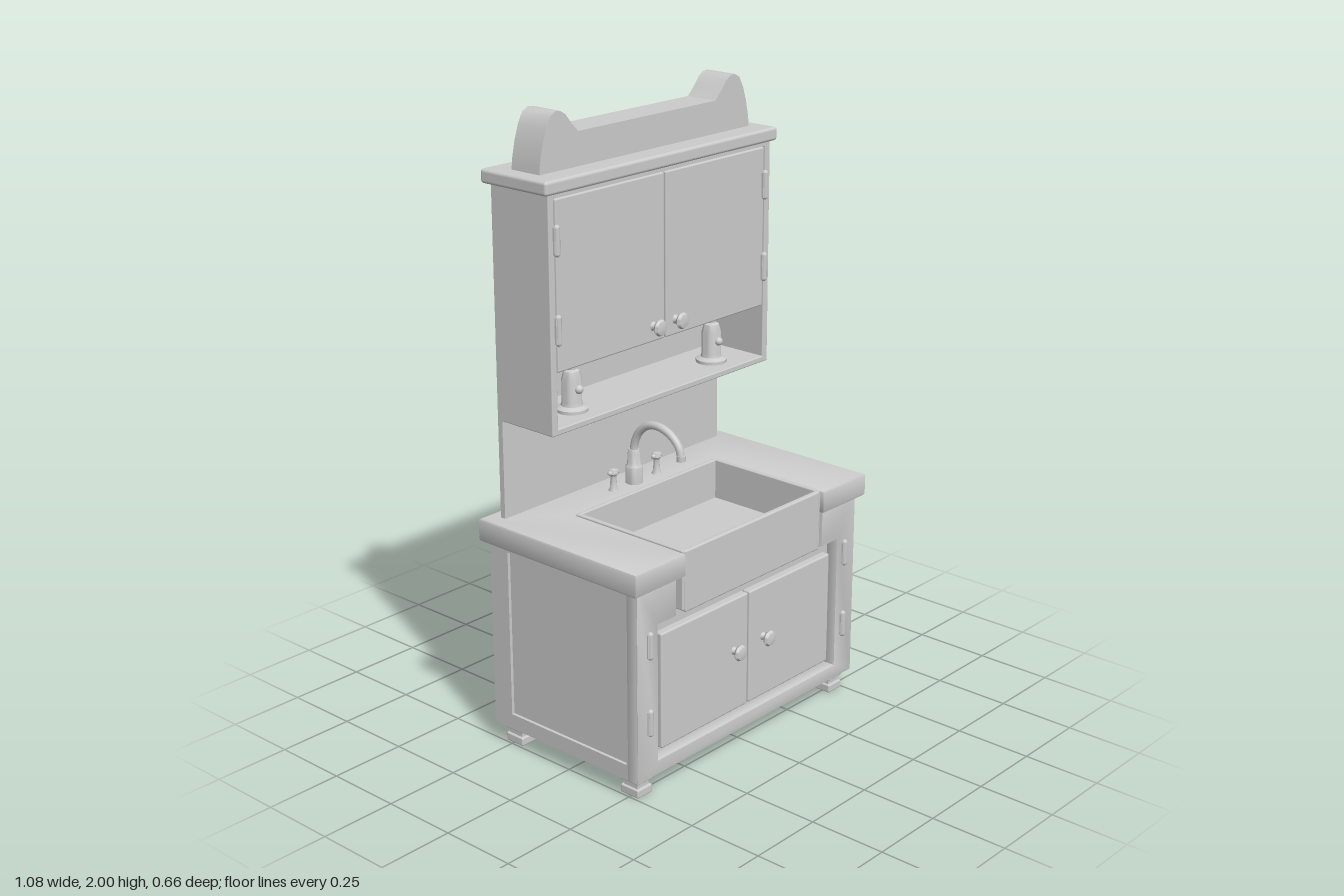
import * as THREE from 'three';
import { toCreasedNormals } from 'three/addons/utils/BufferGeometryUtils.js';
import { RoundedBoxGeometry } from 'three/addons/geometries/RoundedBoxGeometry.js';

const grey = new THREE.MeshStandardMaterial({ color: 0xcccccc, side: THREE.DoubleSide });

function add(parent, name, geometry, x = 0, y = 0, z = 0) {
  const mesh = new THREE.Mesh(geometry, grey);
  mesh.name = name;
  mesh.position.set(x, y, z);
  parent.add(mesh);
  return mesh;
}

// Box given by its limits on each axis, with optional rounded edges
function box(parent, name, [x0, x1], [y0, y1], [z0, z1], r = 0) {
  const s = [x1 - x0, y1 - y0, z1 - z0];
  const geo = r ? new RoundedBoxGeometry(...s, 2, r) : new THREE.BoxGeometry(...s);
  return add(parent, name, geo, (x0 + x1) / 2, (y0 + y1) / 2, (z0 + z1) / 2);
}

const outline = (pts) => pts.map(([x, y]) => new THREE.Vector2(x, y));

// Flat board of any outline, from z = 0 to z = depth
function board(pts, depth, bevel = 0, hole) {
  const shape = new THREE.Shape(outline(pts));
  if (hole) shape.holes.push(new THREE.Path(outline(hole)));
  const geo = new THREE.ExtrudeGeometry(shape, {
    depth: depth - 2 * bevel, bevelEnabled: bevel > 0, bevelSize: bevel,
    bevelThickness: bevel, bevelOffset: -bevel, bevelSegments: 2,
  });
  geo.translate(0, 0, bevel);
  return toCreasedNormals(geo, 0.6);
}

const rect = (x0, x1, y0, y1) => [[x0, y0], [x1, y0], [x1, y1], [x0, y1]];
const lathe = (pts, n = 20) => toCreasedNormals(new THREE.LatheGeometry(outline(pts), n), 0.7);

// Round knob pointing to +z
function knob(parent, x, y, z) {
  const geo = lathe([[0, 0], [0.016, 0], [0.01, 0.008], [0.008, 0.018], [0.021, 0.023],
    [0.026, 0.031], [0.021, 0.039], [0, 0.044]]);
  add(parent, 'knob', geo.rotateX(Math.PI / 2), x, y, z);
}

function hinge(parent, x, y, z, h) {
  const g = new THREE.Group();
  g.name = 'hinge';
  add(g, 'hingeBarrel', new THREE.CapsuleGeometry(0.01, h - 0.02, 4, 10));
  box(g, 'hingeLeaf', [-0.012, 0.012], [-h * 0.42, h * 0.42], [-0.012, 0.003]);
  g.position.set(x, y, z);
  parent.add(g);
}

function baseCabinet() {
  const g = new THREE.Group();
  g.name = 'baseCabinet';
  box(g, 'bottom', [-0.51, 0.51], [0.065, 0.09], [-0.3, 0.295]);
  box(g, 'back', [-0.515, 0.515], [0.065, 0.69], [-0.305, -0.28]);
  box(g, 'innerPanel', [-0.48, 0.48], [0.085, 0.6], [0.245, 0.262]);

  // Front frame, opening stepped around the sink
  add(g, 'frontFrame', board([[-0.515, 0.065], [0.515, 0.065], [0.515, 0.69], [0.345, 0.69],
    [0.345, 0.555], [0.425, 0.555], [0.425, 0.112], [-0.425, 0.112], [-0.425, 0.555],
    [-0.345, 0.555], [-0.345, 0.69], [-0.515, 0.69]], 0.045, 0.004), 0, 0, 0.257);

  for (const s of [-1, 1]) {
    // Side frame with a sunken panel
    const frame = board(rect(-0.3, 0.305, 0.065, 0.69), 0.02, 0,
      rect(-0.255, 0.23, 0.115, 0.66));
    add(g, 'sideFrame', frame.rotateY(Math.PI / 2), s * 0.505 - 0.01);
    box(g, 'sidePanel', [s * 0.497 - 0.008, s * 0.497 + 0.008], [0.09, 0.68], [-0.285, 0.265]);

    const x = [s * 0.003, s * 0.4].sort((a, b) => a - b);
    box(g, 'door', x, [0.135, 0.512], [0.262, 0.292], 0.006);
    knob(g, s * 0.07, 0.34, 0.288);
    for (const y of [0.25, 0.5]) hinge(g, s * 0.462, y, 0.304, 0.09);

    for (const z of [-0.245, 0.245]) {
      box(g, 'footBlock', [s * 0.462 - 0.032, s * 0.462 + 0.032], [0, 0.028], [z - 0.036, z + 0.036], 0.005);
      box(g, 'footNeck', [s * 0.462 - 0.025, s * 0.462 + 0.025], [0.02, 0.055], [z - 0.027, z + 0.027]);
      box(g, 'footTop', [s * 0.462 - 0.033, s * 0.462 + 0.033], [0.045, 0.068], [z - 0.037, z + 0.037], 0.004);
    }
  }
  return g;
}

function counterAndSink() {
  const g = new THREE.Group();
  g.name = 'counterAndSink';
  // U-shaped worktop, drawn in x and -z, then laid flat
  const top = board([[-0.54, -0.32], [-0.325, -0.32], [-0.325, 0.125], [0.325, 0.125],
    [0.325, -0.32], [0.54, -0.32], [0.54, 0.325], [-0.54, 0.325]], 0.075, 0.008);
  add(g, 'worktop', top.rotateX(-Math.PI / 2), 0, 0.678, 0);

  // Apron-front basin
  box(g, 'sinkApron', [-0.316, 0.316], [0.558, 0.755], [0.293, 0.312], 0.006);
  box(g, 'sinkBackWall', [-0.32, 0.32], [0.57, 0.756], [-0.128, -0.112], 0.004);
  for (const s of [-1, 1])
    box(g, 'sinkSideWall', [s * 0.317 - 0.008, s * 0.317 + 0.008], [0.565, 0.756], [-0.125, 0.308], 0.004);
  box(g, 'sinkFloor', [-0.315, 0.315], [0.6, 0.625], [-0.12, 0.3]);
  return g;
}

function faucet() {
  const g = new THREE.Group();
  g.name = 'faucet';
  add(g, 'faucetBase', lathe([[0, 0], [0.028, 0], [0.028, 0.058], [0.022, 0.066], [0.021, 0.1],
    [0.016, 0.115], [0, 0.115]]), -0.005, 0.75, -0.18);
  const path = new THREE.CatmullRomCurve3([[0.83, -0.18], [0.88, -0.178], [0.925, -0.158],
    [0.956, -0.12], [0.963, -0.075], [0.947, -0.025], [0.915, 0.008], [0.875, 0.019]]
    .map(([y, z]) => new THREE.Vector3(-0.005, y, z)));
  add(g, 'spout', new THREE.TubeGeometry(path, 32, 0.013, 12));
  add(g, 'spoutTip', new THREE.CylinderGeometry(0.015, 0.015, 0.018, 12), -0.005, 0.882, 0.018);
  for (const s of [-1, 1]) {
    add(g, 'tapStem', lathe([[0, 0], [0.018, 0], [0.012, 0.012], [0.009, 0.05], [0.015, 0.06],
      [0.012, 0.072], [0, 0.076]], 14), s * 0.1, 0.75, -0.18);
    const bar = new THREE.CapsuleGeometry(0.008, 0.03, 4, 10);
    add(g, 'tapHandle', bar.rotateZ(Math.PI / 2), s * 0.1, 0.813, -0.18);
  }
  return g;
}

function soapDispenser(x) {
  const g = new THREE.Group();
  g.name = 'soapDispenser';
  add(g, 'bottle', lathe([[0, 0], [0.05, 0], [0.05, 0.01], [0.034, 0.018], [0.031, 0.03], [0.031, 0.1],
    [0.024, 0.125], [0.014, 0.13], [0.014, 0.145], [0.008, 0.147], [0.008, 0.168], [0, 0.168]]));
  const button = new THREE.SphereGeometry(0.014, 14, 10);
  add(g, 'frontStud', button, 0, 0.072, 0.03);
  box(g, 'pumpNozzle', [-0.014, 0.014], [0.148, 0.166], [-0.014, 0.04], 0.005);
  g.position.set(x, 1.085, -0.14);
  return g;
}

function wallCabinet() {
  const g = new THREE.Group();
  g.name = 'wallCabinet';
  box(g, 'backPanel', [-0.49, 0.49], [0.745, 1.8], [-0.28, -0.262]);
  box(g, 'shelf', [-0.49, 0.49], [1.065, 1.085], [-0.28, -0.05], 0.004);
  box(g, 'divider', [-0.47, 0.47], [1.258, 1.275], [-0.265, -0.078]);
  box(g, 'topRail', [-0.48, 0.48], [1.772, 1.8], [-0.27, -0.052]);
  for (const s of [-1, 1]) {
    box(g, 'side', [s * 0.478 - 0.012, s * 0.478 + 0.012], [1.066, 1.8], [-0.28, -0.05], 0.004);
    const x = [s * 0.003, s * 0.462].sort((a, b) => a - b);
    box(g, 'door', x, [1.256, 1.77], [-0.078, -0.05], 0.005);
    knob(g, s * 0.05 - 0.005, 1.305, -0.052);
    for (const y of [1.385, 1.65]) hinge(g, s * 0.462, y, -0.046, 0.095);
    g.add(soapDispenser(s * 0.318));
  }
  box(g, 'cornice', [-0.51, 0.51], [1.785, 1.828], [-0.305, -0.037], 0.01);

  // Crest with two rounded ears
  const ear = [[0.46, 1.82], [0.456, 1.86], [0.445, 1.91], [0.43, 1.955], [0.412, 1.988], [0.39, 2],
    [0.37, 1.998], [0.35, 1.985], [0.325, 1.955], [0.3, 1.93]];
  const crest = [...ear, ...ear.map(([x, y]) => [-x, y]).reverse()];
  add(g, 'crest', board(crest, 0.112), 0, 0, -0.225);
  return g;
}

export function createModel() {
  const model = new THREE.Group();
  model.name = 'sinkDresser';
  model.add(baseCabinet(), counterAndSink(), faucet(), wallCabinet());
  return model;
}
